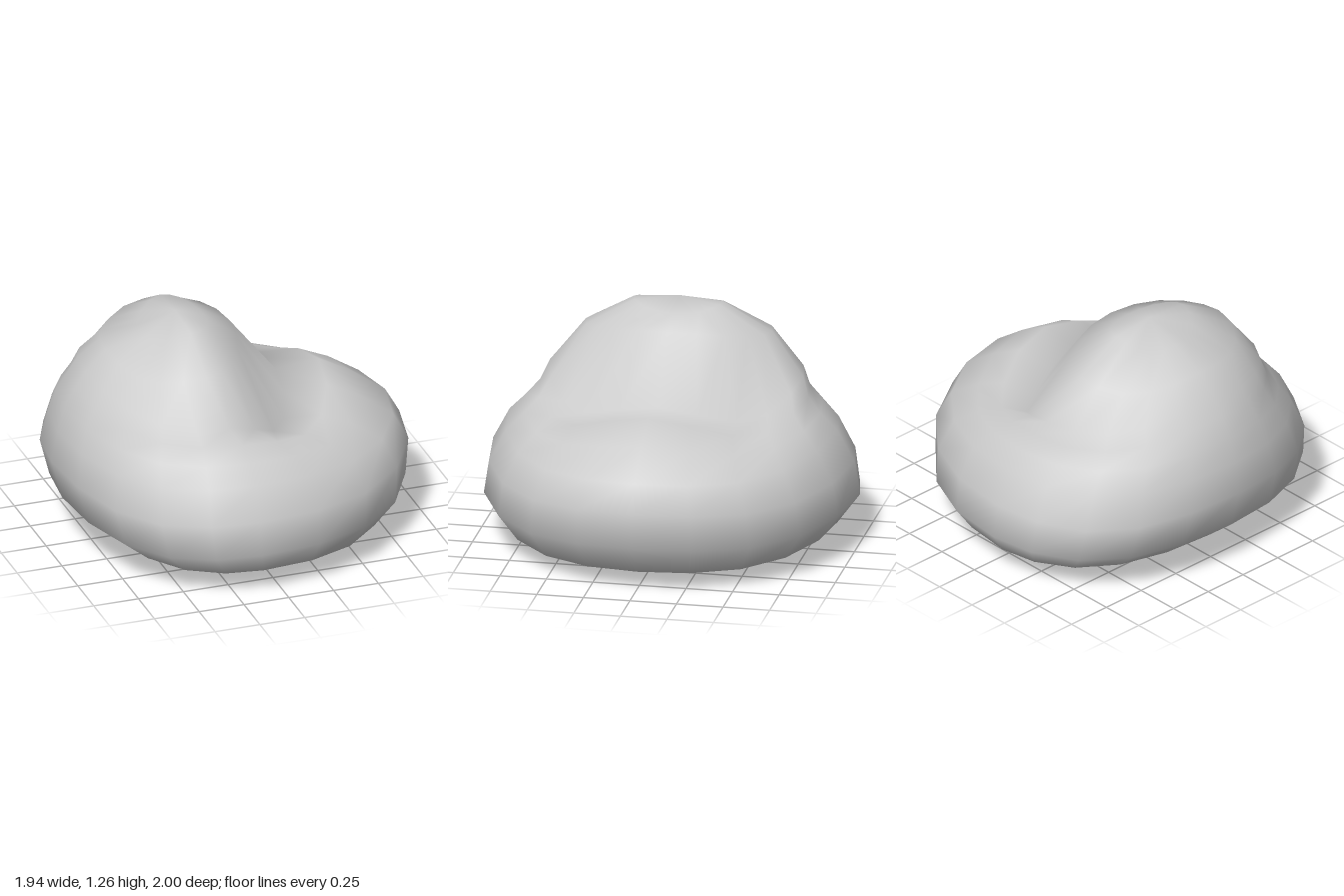
import * as THREE from 'three';

const SEGMENTS = 20;

// Rings from the open base to the crown:
// [front x, front y, middle x, half width, side y, back x, back y, front dip, back dip]
const RINGS = [
  [0.57, 0.05, 0.05, 0.57, 0.0, -0.49, 0.05, 0, 0],
  [0.82, 0.1, -0.1, 0.89, 0.125, -0.74, 0.13, 0.02, 0.02],
  [0.95, 0.27, -0.15, 1.0, 0.27, -0.91, 0.27, 0.03, 0.03],
  [0.97, 0.47, -0.15, 0.97, 0.45, -0.97, 0.49, 0.03, 0.04],
  [0.89, 0.61, -0.14, 0.88, 0.62, -0.935, 0.66, 0.03, 0.03],
  [0.7, 0.75, -0.14, 0.79, 0.71, -0.9, 0.8, 0.06, 0.03],
  [0.52, 0.85, -0.16, 0.72, 0.79, -0.84, 0.9, 0.1, 0.03],
  [0.28, 0.83, -0.22, 0.68, 0.88, -0.78, 0.99, 0.12, 0.03],
  [0.02, 1.16, -0.28, 0.5, 1.1, -0.67, 1.1, 0, 0.04],
  [-0.12, 1.215, -0.28, 0.24, 1.245, -0.48, 1.18, 0, 0.03],
];
const CROWN = [-0.28, 1.265, 0];

function ringPoint([xF, yF, xM, w, yS, xB, yB, dipF, dipB], angle) {
  const c = Math.cos(angle), s = Math.sin(angle);
  const [xEnd, yEnd, dip] = c > 0 ? [xF, yF, dipF] : [xB, yB, dipB];
  // Height blends from side to end and sags on the diagonals
  const y = yS + (yEnd - yS) * c * c - dip * Math.sin(2 * angle) ** 2;
  return [xM + (xEnd - xM) * Math.abs(c), y, w * s];
}

export function createModel() {
  const positions = [], index = [];
  for (const ring of RINGS) {
    for (let j = 0; j < SEGMENTS; j++) {
      positions.push(...ringPoint(ring, (j / SEGMENTS) * Math.PI * 2));
    }
  }
  const crown = RINGS.length * SEGMENTS;
  positions.push(...CROWN);

  // Skin between neighbouring rings, closed by a fan at the crown
  for (let k = 0; k < RINGS.length; k++) {
    for (let j = 0; j < SEGMENTS; j++) {
      const a = k * SEGMENTS + j;
      const b = k * SEGMENTS + ((j + 1) % SEGMENTS);
      if (k === RINGS.length - 1) index.push(a, crown, b);
      else index.push(a, a + SEGMENTS, b, b, a + SEGMENTS, b + SEGMENTS);
    }
  }

  const geometry = new THREE.BufferGeometry();
  geometry.setAttribute('position', new THREE.Float32BufferAttribute(positions, 3));
  geometry.setIndex(index);
  geometry.computeVertexNormals();

  // Soft seat with a tall rounded back, open underneath
  const cushion = new THREE.Mesh(
    geometry,
    new THREE.MeshStandardMaterial({ color: 0xcccccc, side: THREE.DoubleSide })
  );
  cushion.name = 'beanbagCushion';

  const group = new THREE.Group();
  group.name = 'beanbagChair';
  group.add(cushion);
  return group;
}
